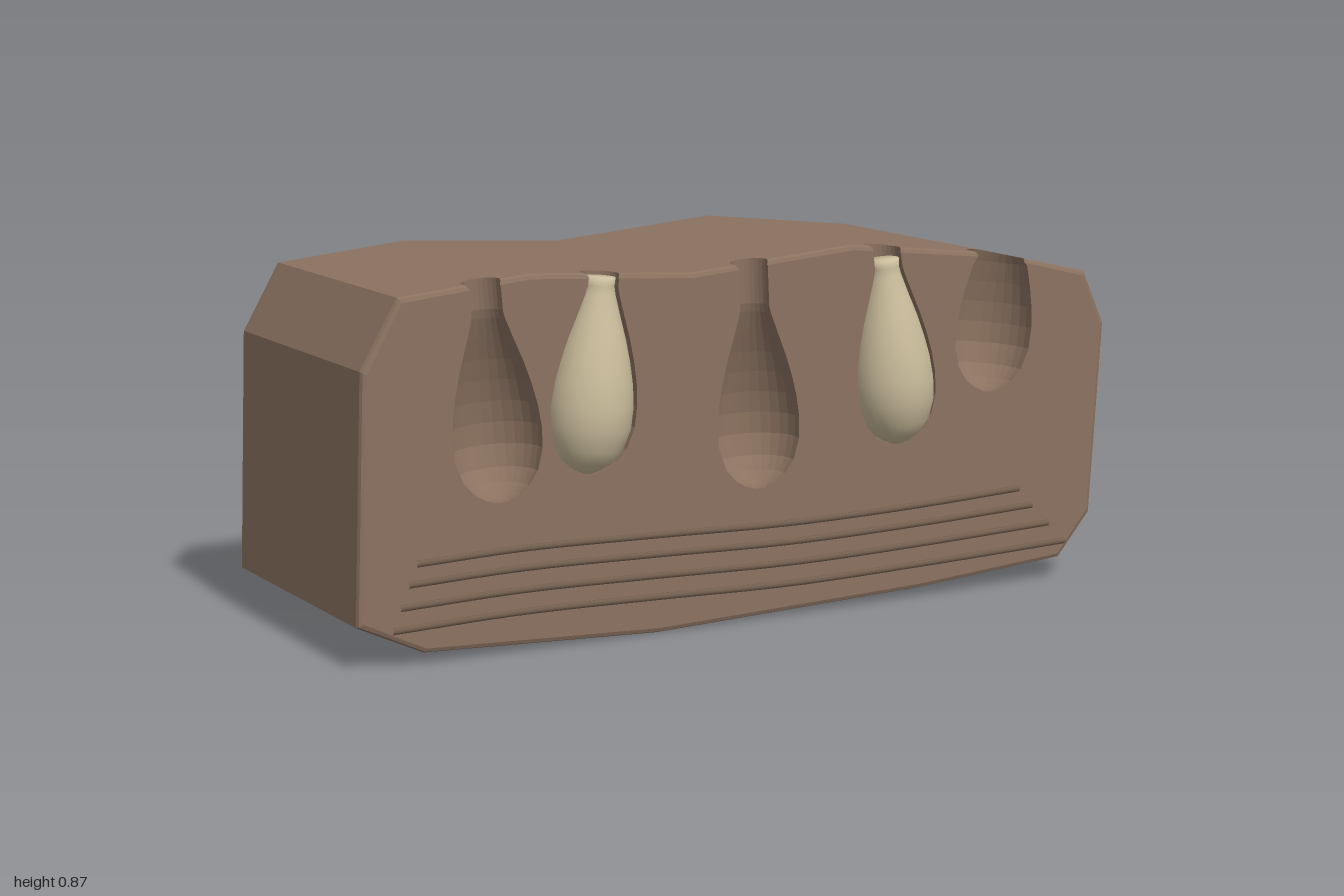
import * as THREE from 'three';

const FRONT = 0.317, BACK = -0.382, BEVEL = 0.012; // block depth and edge rounding
const AXIS_Z = 0.296, D = FRONT - AXIS_Z;          // depth of the pocket axes

// Block outline: wavy top (left to right) and the remaining sides (counter-clockwise)
const TOP = [[-0.89, 0.825], [-0.57, 0.857], [-0.16, 0.832], [0.27, 0.87], [0.68, 0.825], [0.94, 0.765]];
const SIDES = [[-0.98, 0.67], [-1, 0.105], [-0.84, 0.03], [-0.25, 0.003], [0.47, 0.025], [0.88, 0.055], [0.97, 0.16], [1, 0.635]];

// Bottle profile: [distance from the bottom, radius]
const BOTTLE = [[0, 0], [0.004, 0.016], [0.014, 0.036], [0.03, 0.058], [0.06, 0.08], [0.11, 0.095], [0.16, 0.097],
  [0.21, 0.092], [0.26, 0.082], [0.31, 0.069], [0.36, 0.053], [0.41, 0.038], [0.43, 0.034], [0.45, 0.035]];
const POCKET = [...BOTTLE.slice(0, -1).map(([s, r]) => [s, r ? r * 1.08 + 0.007 : 0]), [0.7, 0.044]];

const lerpTable = (table, v) => {
  let i = 1;
  while (i < table.length - 1 && table[i][0] < v) i++;
  const [a, b] = [table[i - 1], table[i]];
  return a[1] + (b[1] - a[1]) * (v - a[0]) / (b[0] - a[0]);
};
const topY = x => lerpTable(TOP, x);

// Outline point at depth z, drawn inwards by the rounded front and back edges
function blockPoint([x, y], z) {
  const over = Math.min(BEVEL, Math.max(0, z - (FRONT - BEVEL), BACK + BEVEL - z));
  const t = BEVEL - Math.sqrt(BEVEL * BEVEL - over * over);
  const k = Math.min(1, Math.max(0, (Math.abs(x) - 0.8) / 0.15));
  return [x - Math.sign(x) * t * k, 0.43 + (y - 0.43) * (1 - t / 0.43), z];
}

// A pocket runs from its bottom (x, y) up to xTop at the top of the block
function makePocket([x, y, xTop, bottle]) {
  const dir = new THREE.Vector2(xTop - x, topY(xTop) - y), length = dir.length();
  dir.normalize();
  let i = 0;
  while (POCKET[i][1] <= D) i++;
  const [a, b] = [POCKET[i - 1], POCKET[i]];
  const rim = [a[0] + (b[0] - a[0]) * (D - a[1]) / (b[1] - a[1]), D];
  const rTop = lerpTable(POCKET, length);
  const rings = [...POCKET.slice(0, i), rim, ...POCKET.slice(i).filter(p => p[0] < length - 0.005), [length, rTop]];
  const at = (ring, side, z) => { // point on a ring, offset sideways
    const s = ring[0];
    if (s === length) return blockPoint([xTop + side, topY(xTop + side)], z);
    return [x + dir.x * s + dir.y * side, y + dir.y * s - dir.x * side, z];
  };
  return { x, y, xTop, bottle, dir, rTop, rings, rimIndex: i, at };
}

const POCKETS = [[-0.645, 0.347, -0.685, false], [-0.43, 0.39, -0.39, true], [0.02, 0.312, -0.003, false],
  [0.408, 0.382, 0.362, true], [0.655, 0.487, 0.69, false]].map(makePocket);

function blockGeometry() {
  const pos = [];
  const tri = (a, b, c) => {
    const [A, B, C] = [a, b, c].map(p => new THREE.Vector3(...p));
    if (B.sub(A).cross(C.sub(A)).lengthSq() > 1e-18) pos.push(...a, ...b, ...c);
  };
  const quad = (a, b, c, d) => { tri(a, b, c); tri(a, c, d); };

  // Walls, with round notches where the pockets break through the top
  const xs = TOP.map(p => p[0]);
  for (const p of POCKETS) {
    xs.push(p.xTop - p.rTop - 1e-4, p.xTop + p.rTop + 1e-4);
    for (let k = 0; k <= 16; k++) xs.push(p.xTop + p.rTop * Math.cos(k / 16 * Math.PI));
  }
  xs.sort((a, b) => b - a);
  const loop = [...SIDES, ...xs.map(x => [x, topY(x), true])];
  const levels = [BACK, BACK + BEVEL * 0.3, BACK + BEVEL, FRONT - BEVEL, FRONT - BEVEL * 0.3, FRONT];
  const columns = loop.map(p => {
    const n = p[2] && POCKETS.find(q => Math.abs(p[0] - q.xTop) < q.rTop + 5e-5);
    const h = n ? Math.sqrt(Math.max(0, n.rTop ** 2 - (p[0] - n.xTop) ** 2)) : 0;
    return {
      wall: levels.map(z => blockPoint(p, n ? Math.min(z, AXIS_Z - h) : z)),
      lip: n && levels.map(z => blockPoint(p, Math.min(FRONT, Math.max(z, AXIS_Z + h))))
    };
  });
  const strip = (a, b) => {
    for (let j = 0; j < a.length - 1; j++) quad(a[j], b[j], b[j + 1], a[j + 1]);
  };
  columns.forEach((a, i) => {
    const b = columns[(i + 1) % columns.length];
    strip(a.wall, b.wall);
    if (a.lip && b.lip) strip(a.lip, b.lip);
  });

  // Hollow pockets
  const SEG = 16;
  for (const p of POCKETS) {
    const rows = p.rings.map(ring => {
      const r = ring[1], max = r > D ? Math.PI - Math.acos(D / r) : Math.PI;
      return Array.from({ length: SEG + 1 }, (_, k) => {
        const phi = max * (2 * k / SEG - 1);
        return p.at(ring, r * Math.sin(phi), AXIS_Z - r * Math.cos(phi));
      });
    });
    for (let i = 0; i < rows.length - 1; i++)
      for (let k = 0; k < SEG; k++) quad(rows[i][k], rows[i][k + 1], rows[i + 1][k + 1], rows[i + 1][k]);
  }

  // Front face, cut out around the pockets, and plain back face
  const cap = (points, z, flip) => {
    const pts = points.map(p => new THREE.Vector2(p[0], p[1]));
    for (const f of THREE.ShapeUtils.triangulateShape(pts, [])) {
      const [a, b, c] = f.map(i => [pts[i].x, pts[i].y, z]);
      if (flip) tri(a, c, b); else tri(a, b, c);
    }
  };
  const mouth = p => {
    const open = p.rings.slice(p.rimIndex);
    const edge = sign => open.map(g => p.at(g, sign * Math.sqrt(Math.max(0, g[1] ** 2 - D * D)), FRONT));
    return [...edge(1).reverse(), ...edge(-1).slice(1)];
  };
  const plain = TOP.filter(t => !POCKETS.some(p => Math.abs(t[0] - p.xTop) < p.rTop));
  const topEdge = [...plain.map(t => ({ x: t[0], pts: [blockPoint(t, FRONT)] })),
    ...POCKETS.map(p => ({ x: p.xTop, pts: mouth(p) }))].sort((a, b) => b.x - a.x);
  cap([...SIDES.map(p => blockPoint(p, FRONT)), ...topEdge.flatMap(e => e.pts)], FRONT, false);
  cap([...SIDES, ...[...TOP].reverse()].map(p => blockPoint(p, BACK)), BACK, true);

  const g = new THREE.BufferGeometry();
  g.setAttribute('position', new THREE.Float32BufferAttribute(pos, 3));
  g.computeVertexNormals();
  return g;
}

// Thin raised line following a few points on a face
function ridge(name, points, z, radius, material) {
  const curve = new THREE.CatmullRomCurve3(points.map(([x, y]) => new THREE.Vector3(x, y, z)));
  const mesh = new THREE.Mesh(new THREE.TubeGeometry(curve, 24, radius, 6), material);
  mesh.name = name;
  return mesh;
}

export function createModel() {
  const group = new THREE.Group();
  group.name = 'bottleBlock';
  const wood = new THREE.MeshStandardMaterial({ color: 0x8b7260, flatShading: true });
  const ridgeMat = new THREE.MeshStandardMaterial({ color: 0x75604f });
  const glaze = new THREE.MeshStandardMaterial({ color: 0xcbbd9c });

  const block = new THREE.Mesh(blockGeometry(), wood);
  block.name = 'block';
  group.add(block);

  // Bottles resting in two of the pockets
  const profile = [...BOTTLE, [0.45, 0]].map(([s, r]) => new THREE.Vector2(r, s));
  for (const p of POCKETS.filter(q => q.bottle)) {
    const bottle = new THREE.Mesh(new THREE.LatheGeometry(profile, 28), glaze);
    bottle.name = 'bottle';
    bottle.position.set(p.x, p.y, 0.299);
    bottle.rotation.z = -Math.atan2(p.dir.x, p.dir.y);
    group.add(bottle);
  }

  // Four wavy lines low on the front
  [[0.235, -0.86, 0.75], [0.19, -0.88, 0.79], [0.14, -0.9, 0.84], [0.09, -0.92, 0.89]].forEach(([y, x0, x1]) => {
    group.add(ridge('frontRidge', [[x0, y], [-0.6, y + 0.007], [-0.25, y], [0.1, y - 0.009], [0.45, y - 0.004], [x1, y + 0.008]],
      0.319, 0.008, ridgeMat));
  });

  // Seven long lines across the back
  for (let i = 0; i < 7; i++) {
    const y = 0.155 + i * 0.0815;
    group.add(ridge('backRidge', [[0.65, y], [0.25, y - 0.004], [-0.15, y], [-0.55, y + 0.012], [-0.93, y + 0.03]],
      -0.384, 0.011, ridgeMat));
  }
  return group;
}
